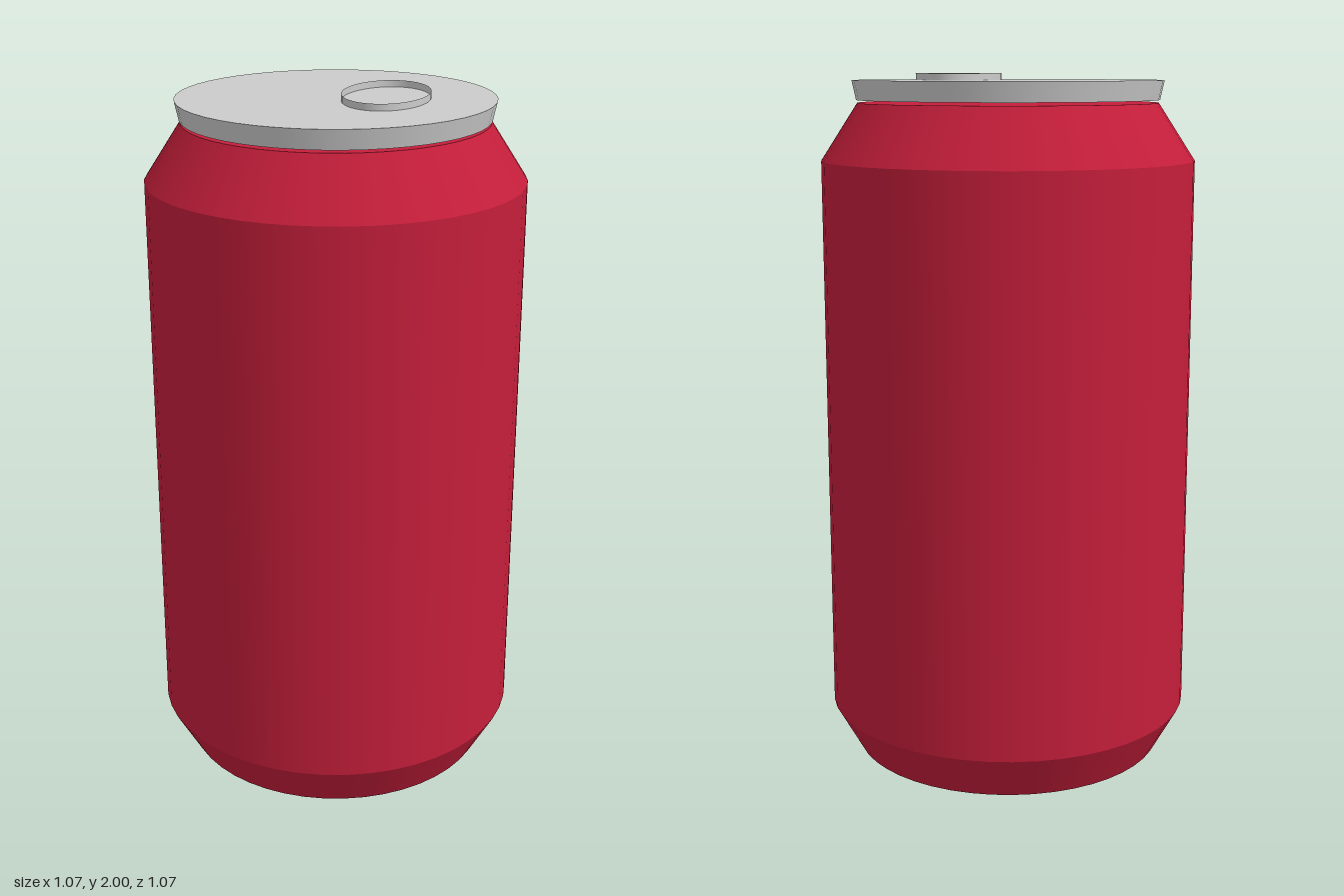
import * as THREE from 'three';

const SEGMENTS = 48;

export function createModel() {
  const can = new THREE.Group();
  can.name = 'drinkCan';

  const red = new THREE.MeshStandardMaterial({ color: 0xc41e3a });
  const grey = new THREE.MeshStandardMaterial({ color: 0xcccccc });
  const greyThin = new THREE.MeshStandardMaterial({ color: 0xcccccc, side: THREE.DoubleSide });

  // Tapered round section between two heights, smooth around, crisp at its rims
  function section(name, y0, r0, y1, r1, material, open, parent = can) {
    const geometry = new THREE.CylinderGeometry(r1, r0, y1 - y0, SEGMENTS, 1, open);
    const mesh = new THREE.Mesh(geometry, material);
    mesh.name = name;
    mesh.position.y = (y0 + y1) / 2;
    parent.add(mesh);
    return mesh;
  }

  // Flat disc closing an end of the body
  function cap(name, y, radius, facing) {
    const mesh = new THREE.Mesh(new THREE.CircleGeometry(radius, SEGMENTS), red);
    mesh.name = name;
    mesh.rotation.x = -facing * Math.PI / 2;
    mesh.position.y = y;
    can.add(mesh);
  }

  // Body: base taper, straight wall, shoulder
  section('baseTaper', 0, 0.46, 0.135, 0.535, red, true);
  section('bodyWall', 0.135, 0.535, 1.757, 0.535, red, true);
  section('shoulder', 1.757, 0.535, 1.918, 0.43, red, true);
  cap('bottom', 0, 0.46, -1);
  cap('bodyTop', 1.918, 0.43, 1);

  // Lid, flared towards the top
  section('lid', 1.926, 0.433, 1.981, 0.445, grey, false);

  // Oval pull ring, offset to one side of the lid
  const ring = section('pullRing', 1.981, 1, 2, 1, greyThin, true);
  ring.scale.set(0.121, 1, 0.182);
  ring.position.x = 0.141;

  return can;
}
